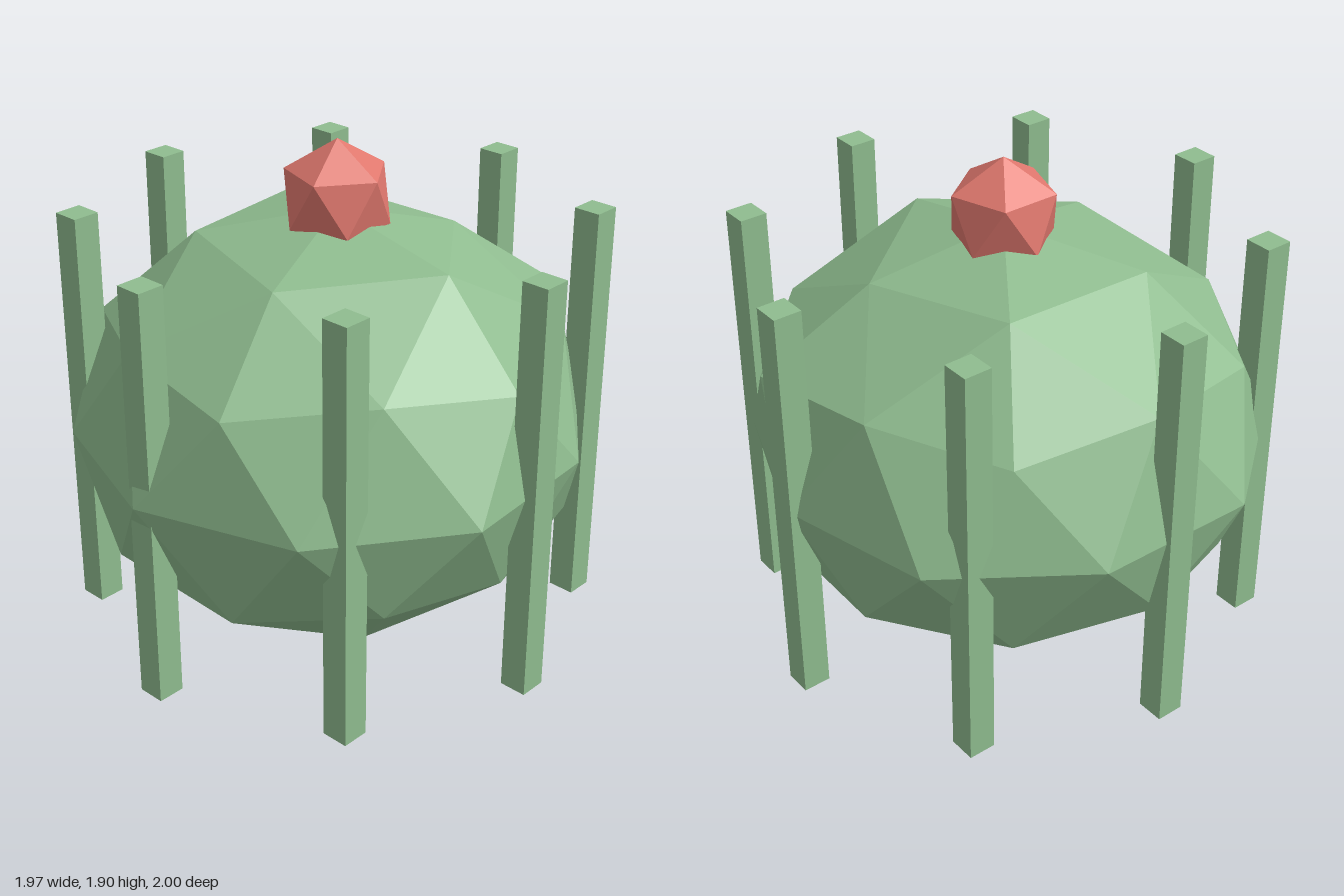
import * as THREE from 'three';

const CENTRE = new THREE.Vector3(0, 0.83, -0.02);
const STEP = Math.PI / 5;

// Faceted ball from stacked rings; each ring's list holds the radial unevenness of its vertices.
// y and r: unit height and radius; start: first angle in steps of 36 degrees, from +z towards +x.
const RINGS = [
  { y: 1, r: 0, start: 0, bumps: [0.985] },
  { y: 0.851, r: 0.526, start: 0.5, bumps: [0.97, 1, 0.95, 1.035, 0.99] },
  { y: 0.487, r: 0.873, start: 0.5, bumps: [1.01, 0.97, 0.955, 0.97, 1.02, 0.98, 0.96, 0.99, 0.995, 0.975] },
  { y: 0, r: 1, start: 0, bumps: [1.015, 1.016, 1.009, 0.958, 0.944, 0.97, 1.016, 1.009, 1.018, 0.994] },
  { y: -0.487, r: 0.873, start: 0.5, bumps: [1.01, 0.98, 0.955, 0.98, 0.98, 0.99, 0.98, 0.985, 1, 1.01] },
  { y: -0.851, r: 0.526, start: 1.5, bumps: [0.98, 0.98, 0.96, 0.99, 0.98] },
  { y: -1, r: 0, start: 0, bumps: [1] },
];

function bodyGeometry() {
  const positions = [];
  const first = [];
  RINGS.forEach(({ y, r, start, bumps }, level) => {
    first.push(positions.length / 3);
    bumps.forEach((bump, i) => {
      // The two tall rings alternate between main corners and edge midpoints.
      let h = y, rad = r;
      if (level === 2 || level === 4) {
        const corner = (level === 2) === (i % 2 === 0);
        h = Math.sign(y) * (corner ? 0.447 : 0.526);
        rad = corner ? 0.894 : 0.851;
      }
      const a = (start + i * 10 / bumps.length) * STEP;
      positions.push(rad * bump * Math.sin(a), h * bump * 0.83, rad * bump * Math.cos(a));
    });
  });
  const v = (level, i) => first[level] + i % RINGS[level].bumps.length;
  const index = [];
  // Caps, in five sectors
  for (let k = 0; k < 5; k++) {
    const j = 2 * k;
    index.push(
      v(0, 0), v(1, k), v(1, k + 1),
      v(1, k), v(2, j), v(2, j + 1),
      v(1, k), v(2, j + 1), v(1, k + 1),
      v(1, k + 1), v(2, j + 1), v(2, j + 2),
      v(4, j + 1), v(5, k), v(4, j + 2),
      v(4, j + 2), v(5, k), v(5, k + 1),
      v(4, j + 2), v(5, k + 1), v(4, j + 3),
      v(5, k), v(6, 0), v(5, k + 1));
  }
  // Belts above and below the equator
  for (let j = 0; j < 10; j++) {
    index.push(
      v(2, j), v(3, j), v(3, j + 1),
      v(2, j), v(3, j + 1), v(2, j + 1),
      v(3, j), v(4, j), v(3, j + 1),
      v(3, j + 1), v(4, j), v(4, j + 1));
  }
  const indexed = new THREE.BufferGeometry();
  indexed.setAttribute('position', new THREE.Float32BufferAttribute(positions, 3));
  indexed.setIndex(index);
  const geometry = indexed.toNonIndexed();
  geometry.computeVertexNormals();
  return geometry;
}

export function createModel() {
  const group = new THREE.Group();
  group.name = 'cactus';
  const green = new THREE.MeshStandardMaterial({ color: 0x8fbc8f, flatShading: true });
  const red = new THREE.MeshStandardMaterial({ color: 0xe0786e, flatShading: true });

  const body = new THREE.Mesh(bodyGeometry(), green);
  body.name = 'body';
  body.position.copy(CENTRE);
  group.add(body);

  // Upright ribs around the body, all square to the axes
  const ribs = new THREE.Group();
  ribs.name = 'ribs';
  const ribGeometry = new THREE.BoxGeometry(0.105, 1.605, 0.105);
  for (let i = 0; i < 8; i++) {
    const a = i * Math.PI / 4;
    const rib = new THREE.Mesh(ribGeometry, green);
    rib.name = 'rib';
    rib.position.set(0.93 * Math.sin(a), 0.833, CENTRE.z + 0.93 * Math.cos(a));
    ribs.add(rib);
  }
  group.add(ribs);

  // Flower: an icosahedron standing on one corner
  const flowerGeometry = new THREE.IcosahedronGeometry(0.215, 0);
  flowerGeometry.rotateX(-Math.atan((1 + Math.sqrt(5)) / 2));
  flowerGeometry.rotateY(STEP / 2);
  const flower = new THREE.Mesh(flowerGeometry, red);
  flower.name = 'flower';
  flower.position.set(0, 1.69, CENTRE.z);
  group.add(flower);

  return group;
}
